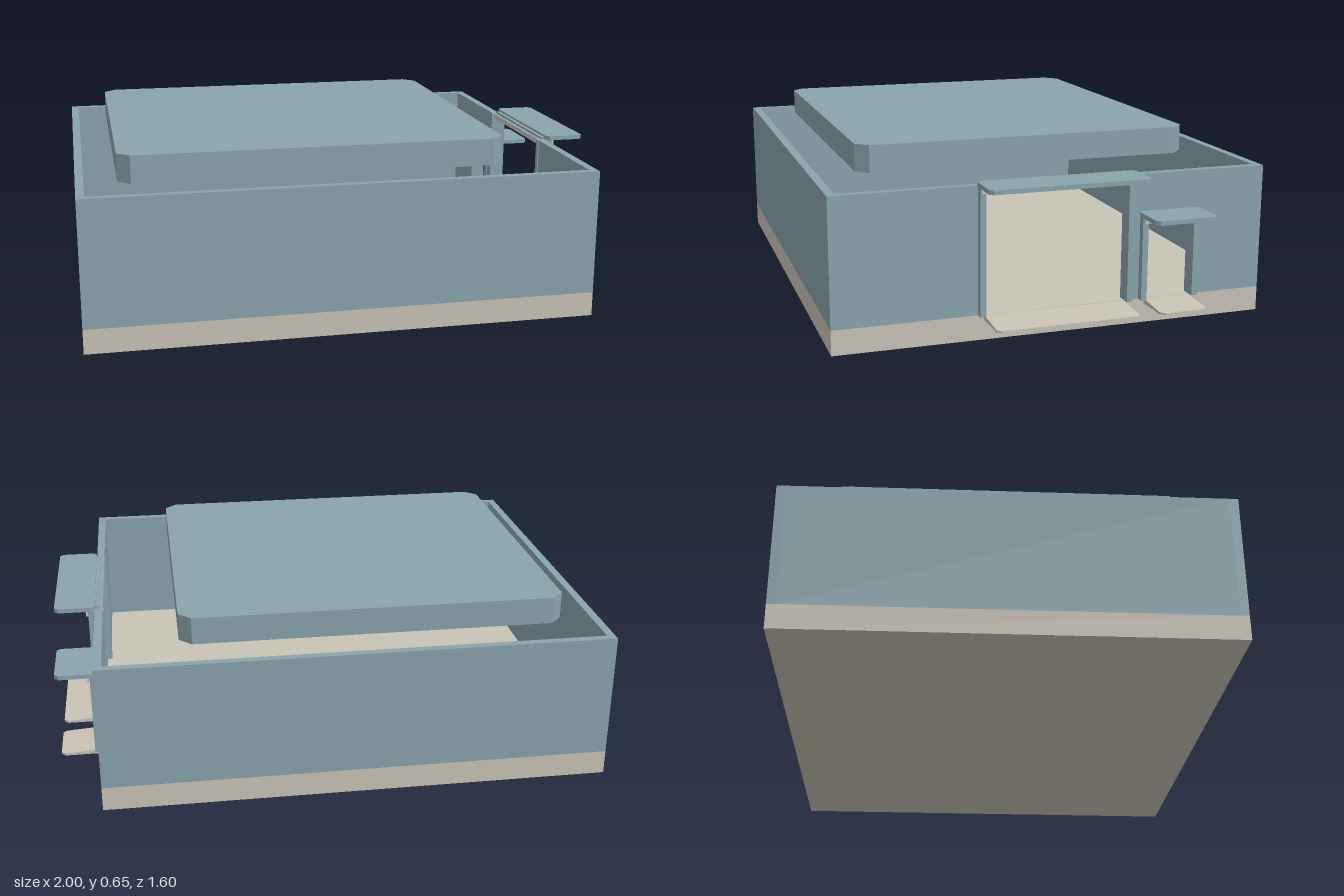
import * as THREE from 'three';

export function createModel() {
  const model = new THREE.Group();
  model.name = 'building';
  const blue = new THREE.MeshStandardMaterial({ color: 0x8aa4ab });
  blue.name = 'greyBlue';
  const beige = new THREE.MeshStandardMaterial({ color: 0xc9c3b7 });
  beige.name = 'warmBeige';

  const add = (parent, name, geometry, material) => {
    const mesh = new THREE.Mesh(geometry, material);
    mesh.name = name;
    parent.add(mesh);
    return mesh;
  };

  // Box given by its extents
  const box = (parent, name, material, x0, x1, y0, y1, z0, z1) => {
    const g = new THREE.BoxGeometry(x1 - x0, y1 - y0, z1 - z0);
    g.translate((x0 + x1) / 2, (y0 + y1) / 2, (z0 + z1) / 2);
    return add(parent, name, g, material);
  };

  // Horizontal plate with cut corners
  const plate = (x0, x1, y0, y1, z0, z1, c) => {
    const outline = [
      [x0 + c, -z1], [x1 - c, -z1], [x1, -z1 + c], [x1, -z0 - c],
      [x1 - c, -z0], [x0 + c, -z0], [x0, -z0 - c], [x0, -z1 + c],
    ].map(([x, y]) => new THREE.Vector2(x, y));
    const g = new THREE.ExtrudeGeometry(new THREE.Shape(outline), { depth: y1 - y0, bevelEnabled: false });
    return g.rotateX(-Math.PI / 2).translate(0, y0, 0);
  };

  const FLOOR = 0.09, TOP = 0.55, T = 0.03;

  // Base slab and plain walls
  box(model, 'base', beige, -1, 0.85, 0, FLOOR, -0.8, 0.8);
  box(model, 'frontWall', blue, -1, 0.85, FLOOR, TOP, 0.8 - T, 0.8);
  box(model, 'backWall', blue, -1, 0.85, FLOOR, TOP, -0.8, -0.8 + T);
  box(model, 'rightWall', blue, -1, -1 + T, FLOOR, TOP, -0.8 + T, 0.8 - T);

  // Left wall with a full-height gate and a smaller door (u = -z)
  const wall = new THREE.Shape([
    [-0.77, FLOOR], [-0.275, FLOOR], [-0.275, TOP], [0.275, TOP], [0.275, FLOOR],
    [0.33, FLOOR], [0.33, 0.4], [0.53, 0.4], [0.53, FLOOR],
    [0.77, FLOOR], [0.77, TOP], [0.275, TOP], [-0.275, TOP], [-0.77, TOP],
  ].filter((p, i) => i < 11 || i === 13).map(([u, y]) => new THREE.Vector2(u, y)));
  const wallGeometry = new THREE.ExtrudeGeometry(wall, { depth: T, bevelEnabled: false });
  wallGeometry.rotateY(Math.PI / 2).translate(0.85 - T, 0, 0);
  add(model, 'leftWall', wallGeometry, blue);

  // Raised roof slab with cut corners
  add(model, 'roof', plate(-0.855, 0.55, TOP, 0.65, -0.635, 0.635, 0.045), blue);

  // Framed entrance: jambs, lintel, canopy and sloping ramp
  const entrance = (name, z0, z1, top) => {
    const g = new THREE.Group();
    g.name = name;
    model.add(g);
    const j = 0.022;
    box(g, 'backJamb', blue, 0.816, 0.875, FLOOR, top, z0, z0 + j);
    box(g, 'frontJamb', blue, 0.816, 0.875, FLOOR, top, z1 - j, z1);
    box(g, 'lintel', blue, 0.835, 0.87, top - 0.02, top + 0.008, z0 + j, z1 - j);
    box(g, 'lintelTrim', beige, 0.826, 0.884, top - 0.022, top - 0.001, z0 + 0.004, z1 - 0.004);
    add(g, 'canopy', plate(0.85, 1, top, top + 0.016, z0 - 0.006, z1 + 0.006, 0.014), blue);
    const ramp = plate(0.835, 1, 0.072, 0.089, z0 + j, z1 - j, 0.014);
    const p = ramp.attributes.position;
    for (let i = 0; i < p.count; i++) {
      if (p.getY(i) > 0.08 && p.getX(i) > 0.95) p.setY(i, 0.08);
    }
    ramp.computeVertexNormals();
    add(g, 'ramp', ramp, beige);
  };
  entrance('gate', -0.285, 0.285, 0.55);
  entrance('door', -0.54, -0.318, 0.398);

  return model;
}
